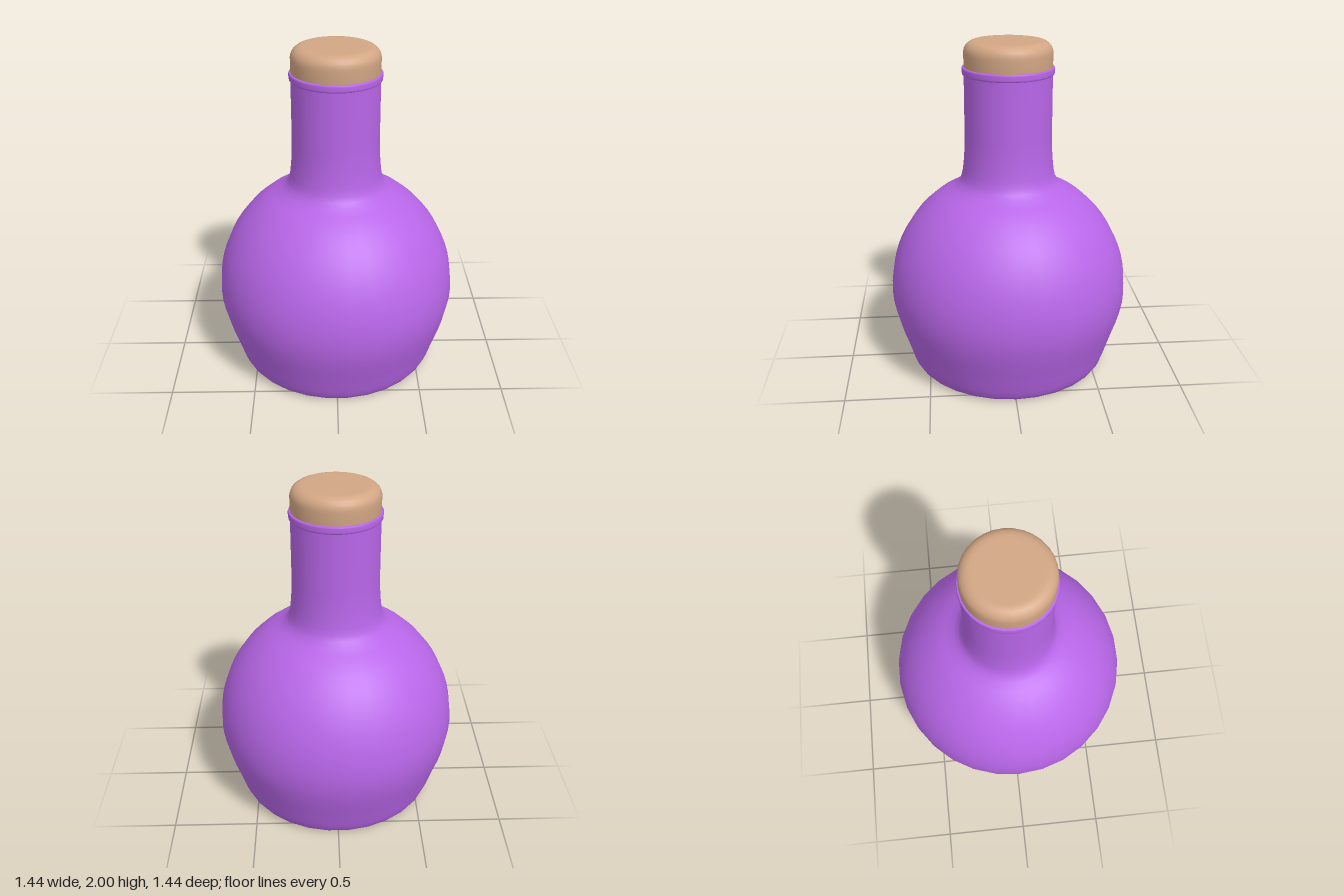
import * as THREE from 'three';

const SIDES = 30;

// Revolve a profile of [radius, height] pairs, listed from bottom to top
function turned(name, profile, material) {
  const points = profile.map(([r, y]) => new THREE.Vector2(r, y));
  const mesh = new THREE.Mesh(new THREE.LatheGeometry(points, SIDES, Math.PI / 2), material);
  mesh.name = name;
  return mesh;
}

// Points along a circular arc, angles in degrees from horizontal
function arc(cx, cy, radius, from, to, steps) {
  return Array.from({ length: steps + 1 }, (_, i) => {
    const a = THREE.MathUtils.degToRad(from + (to - from) * i / steps);
    return [cx + radius * Math.cos(a), cy + radius * Math.sin(a)];
  });
}

export function createModel() {
  const glass = new THREE.MeshStandardMaterial({ color: 0xb866e8, side: THREE.DoubleSide });
  const corkColor = new THREE.MeshStandardMaterial({ color: 0xd2a684 });
  const group = new THREE.Group();
  group.name = 'bottle';

  // Flat base, tapered lower wall, round belly, curved shoulder and straight neck
  group.add(turned('bottleBody', [
    [0, 0], [0.54, 0], [0.565, 0.004], [0.588, 0.015], [0.604, 0.038],
    [0.62, 0.08], [0.638, 0.14], [0.66, 0.21], [0.685, 0.285], [0.705, 0.36], [0.718, 0.43],
    ...arc(0, 0.5, 0.722, 0, 55, 11),
    [0.37, 1.115], [0.325, 1.143], [0.296, 1.17], [0.28, 1.2], [0.271, 1.24],
    [0.264, 1.3], [0.259, 1.37], [0.257, 1.45], [0.256, 1.82],
  ], glass));

  // Raised ring around the mouth
  group.add(turned('neckRing', [
    [0.25, 1.811], [0.262, 1.811], [0.266, 1.815], [0.267, 1.822],
    [0.267, 1.843], [0.266, 1.85], [0.262, 1.854], [0.24, 1.855],
  ], glass));

  // Stopper with a rounded top edge
  group.add(turned('cork', [
    [0.25, 1.82], [0.256, 1.86], [0.256, 1.92],
    ...arc(0.191, 1.935, 0.065, 0, 90, 6),
    [0.17, 2], [0, 2],
  ], corkColor));

  return group;
}
